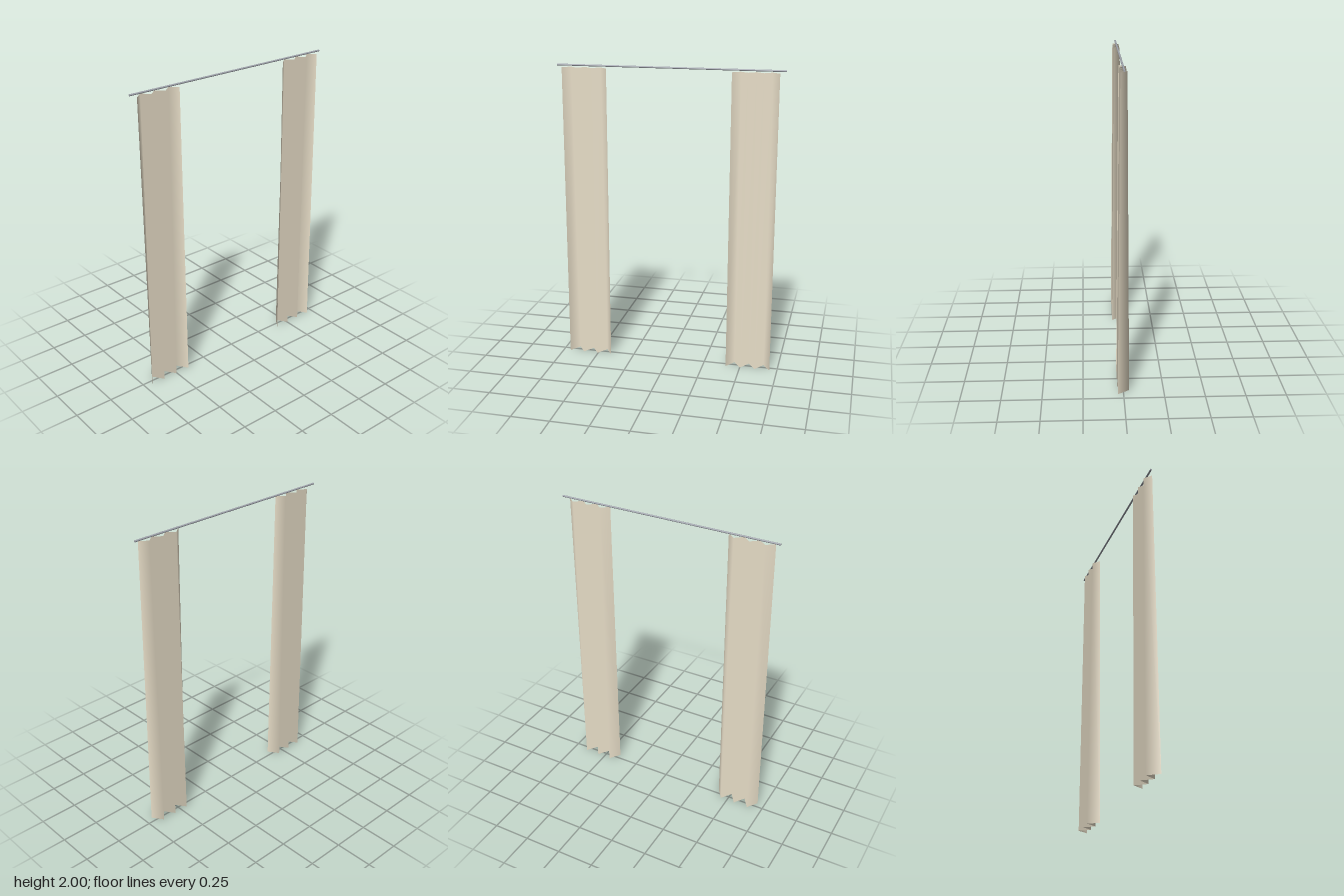
import * as THREE from 'three';

const fabric = new THREE.MeshStandardMaterial({ color: 0xe7ddc7, side: THREE.DoubleSide });
fabric.name = 'beige fabric';
const metal = new THREE.MeshStandardMaterial({ color: 0xa0a4ac });
metal.name = 'grey metal';

const HEIGHT = 1.98, WIDTH = 0.297, FOLDS = 6;

// Pleated sheet: zigzag folds that deepen towards the hem
function curtain(name, x) {
  const geo = new THREE.PlaneGeometry(WIDTH, HEIGHT, FOLDS, 1);
  const { position, normal } = geo.attributes;
  const foldWidth = WIDTH / FOLDS;
  const n = new THREE.Vector3();
  for (let i = 0; i < position.count; i++) {
    const column = i % (FOLDS + 1);
    const depth = position.getY(i) > 0 ? 0.021 : 0.036;
    position.setZ(i, column % 2 === 0 ? depth : -depth);
    // Soft shading across the folds, turning outwards at the two side hems
    const side = column === 0 ? 1 : column === FOLDS ? -1 : 0;
    n.set(side * 2 * depth, 0, foldWidth).normalize();
    normal.setXYZ(i, n.x, n.y, n.z);
  }
  const mesh = new THREE.Mesh(geo, fabric);
  mesh.name = name;
  mesh.position.set(x, HEIGHT / 2, 0);
  return mesh;
}

export function createModel() {
  const group = new THREE.Group();
  group.name = 'curtains';

  // Thin rail across the top
  const rod = new THREE.Mesh(new THREE.CylinderGeometry(0.006, 0.006, 1.476, 24), metal);
  rod.name = 'curtainRod';
  rod.rotation.z = Math.PI / 2;
  rod.position.y = 1.994;
  group.add(rod);

  // One drawn-back panel on each side
  group.add(curtain('leftCurtain', 0.552), curtain('rightCurtain', -0.553));
  return group;
}
